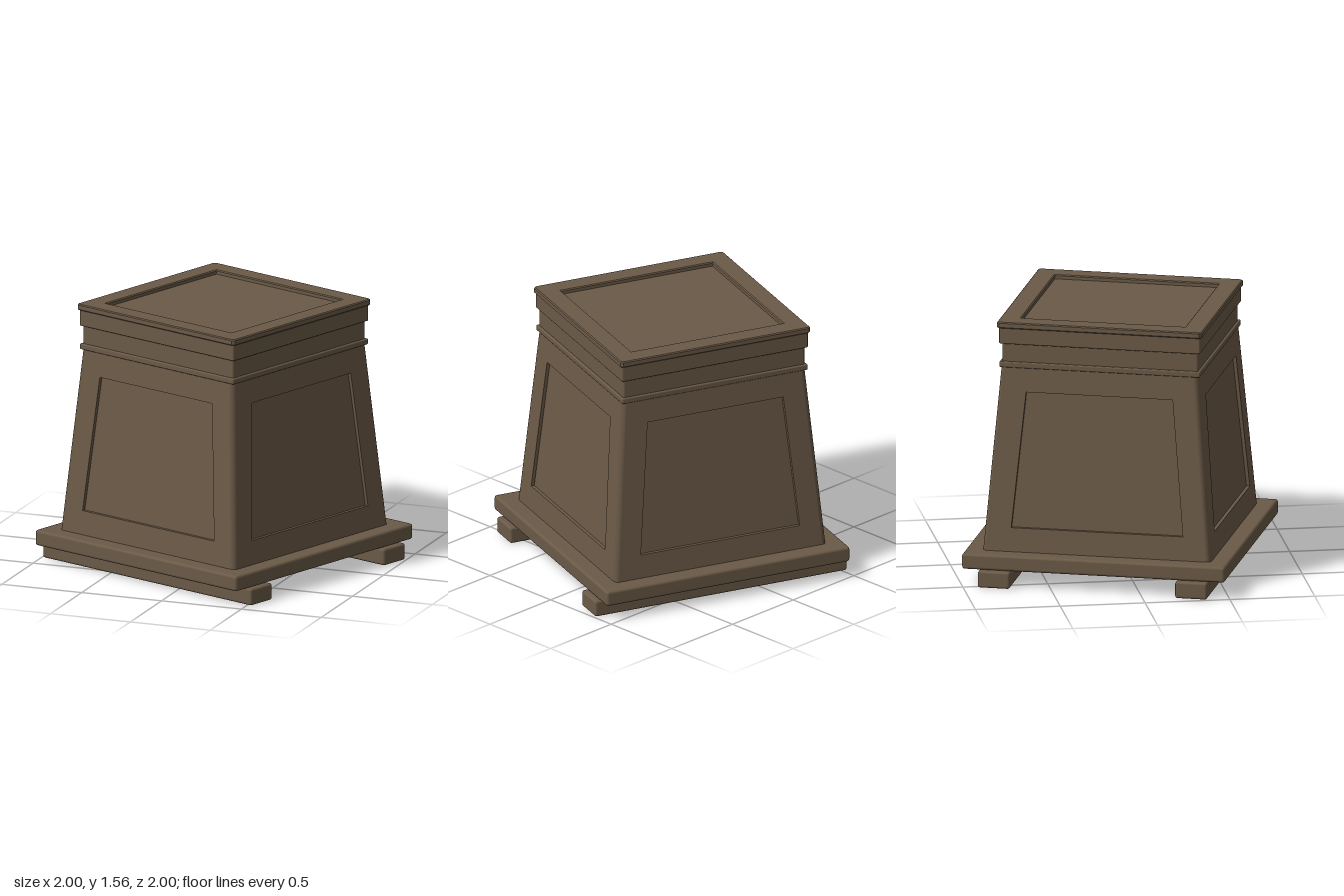
import * as THREE from 'three';
import { RoundedBoxGeometry } from 'three/addons/geometries/RoundedBoxGeometry.js';

const BOTTOM = 0.19, TOP = 1.3, CORNER = 0.03;
// half width of the tapered body at height y
const half = (y) => 0.68 - 0.0835 * (y - BOTTOM);

// One body side facing +z: a frame around a sunken panel
function sideGeometry() {
  const at = (u, y, depth = 0) => [u, y, half(y) - depth];
  const ring = (y0, u0, y1, u1, d) => [at(-u0, y0, d), at(u0, y0, d), at(u1, y1, d), at(-u1, y1, d)];
  const outer = ring(BOTTOM, half(BOTTOM) - CORNER, TOP, half(TOP) - CORNER, 0);
  const inner = ring(0.335, 0.511, 1.14, 0.436, 0);
  const deep = ring(0.335, 0.511, 1.14, 0.436, 0.02);
  const pos = [];
  const quad = (a, b, c, d) => pos.push(...a, ...b, ...c, ...a, ...c, ...d);
  for (let i = 0; i < 4; i++) {
    const j = (i + 1) % 4;
    quad(outer[i], outer[j], inner[j], inner[i]);
    quad(inner[i], inner[j], deep[j], deep[i]);
  }
  quad(...deep);
  const geo = new THREE.BufferGeometry();
  geo.setAttribute('position', new THREE.Float32BufferAttribute(pos, 3));
  geo.computeVertexNormals();
  return geo;
}

// Rounded vertical edge that leans inwards with the taper
function cornerGeometry() {
  const geo = new THREE.CylinderGeometry(CORNER, CORNER, TOP - BOTTOM, 6, 1, true, 0, Math.PI / 2);
  geo.translate(0, (TOP + BOTTOM) / 2, 0);
  const p = geo.attributes.position;
  for (let i = 0; i < p.count; i++) {
    const c = half(p.getY(i)) - CORNER;
    p.setX(i, p.getX(i) + c);
    p.setZ(i, p.getZ(i) + c);
  }
  return geo;
}

// Square rim with clipped corners around the sunken top
function rimGeometry(h, hole, height) {
  const c = 0.014, b = 0.006;
  const shape = new THREE.Shape([
    [-h + c, -h], [h - c, -h], [h, -h + c], [h, h - c],
    [h - c, h], [-h + c, h], [-h, h - c], [-h, -h + c],
  ].map(([x, y]) => new THREE.Vector2(x, y)));
  shape.holes.push(new THREE.Path([[-hole, -hole], [-hole, hole], [hole, hole], [hole, -hole]]
    .map(([x, y]) => new THREE.Vector2(x, y))));
  const geo = new THREE.ExtrudeGeometry(shape, {
    depth: height - 2 * b, bevelThickness: b, bevelSize: b, bevelOffset: -b, bevelSegments: 1,
  });
  return geo.translate(0, 0, b).rotateX(-Math.PI / 2);
}

export function createModel() {
  const wood = new THREE.MeshStandardMaterial({ color: 0x6b5a47 });
  wood.name = 'brownWood';
  const model = new THREE.Group();
  model.name = 'pedestal';
  const turned = new THREE.Group();
  turned.name = 'turnedPedestal';
  turned.rotation.y = -Math.PI / 9;
  model.add(turned);

  const add = (name, geo, parent = turned) => {
    const mesh = new THREE.Mesh(geo, wood);
    mesh.name = name;
    parent.add(mesh);
    return mesh;
  };
  // Soft-edged block between heights y0 and y1
  const block = (name, hx, hz, y0, y1, r, z = 0) => {
    const geo = new RoundedBoxGeometry(2 * hx, y1 - y0, 2 * hz, 2, r);
    add(name, geo).position.set(0, (y0 + y1) / 2, z);
  };

  // Two runners and the base slab
  block('frontRunner', 0.81, 0.095, 0, 0.1, 0.014, 0.587);
  block('backRunner', 0.81, 0.095, 0, 0.1, 0.014, -0.587);
  block('baseSlab', 0.782, 0.782, 0.1, 0.193, 0.016);

  // Tapered body, four panelled sides and rounded corners
  const body = new THREE.Group();
  body.name = 'taperedBody';
  turned.add(body);
  const side = sideGeometry(), corner = cornerGeometry();
  for (let i = 0; i < 4; i++) {
    add('panelledSide', side, body).rotation.y = i * Math.PI / 2;
    add('bodyCorner', corner, body).rotation.y = i * Math.PI / 2;
  }

  // Mouldings, neck and cap
  block('lowerMoulding', 0.597, 0.597, 1.281, 1.316, 0.008);
  block('neck', 0.583, 0.583, 1.29, 1.45, 0.01);
  block('capBlock', 0.598, 0.598, 1.423, 1.531, 0.008);
  add('topRim', rimGeometry(0.61, 0.487, 0.037)).position.y = 1.519;

  return model;
}
